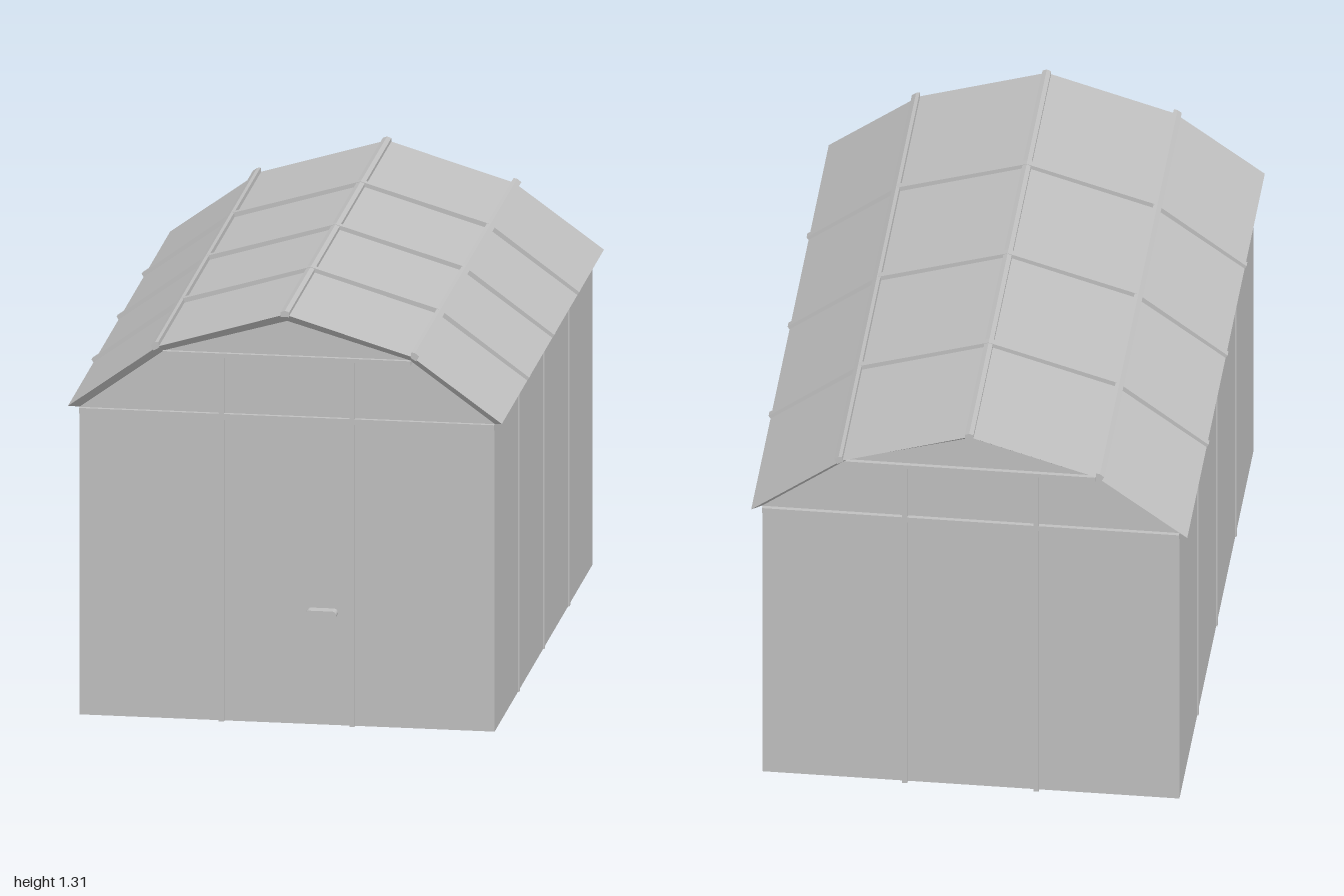
import * as THREE from 'three';

// Half profiles from eave to ridge (x, y)
const WALL = [[0.635, 0.966], [0.376, 1.154], [0, 1.262]];
const ROOF = [[0.664, 0.979], [0.39, 1.177], [0, 1.294]];
const RIB = [[0.67, 0.988], [0.397, 1.19], [0, 1.307]];
const WALL_Z = 0.955, ROOF_Z = 1;

// Full profile running from -x to +x
const full = (half) => [
  ...half.map(([x, y]) => [-x, y]),
  ...half.slice(0, -1).reverse(),
];

function extrude(points, depth) {
  const shape = new THREE.Shape(points.map(([x, y]) => new THREE.Vector2(x, y)));
  const geo = new THREE.ExtrudeGeometry(shape, { depth, bevelEnabled: false, curveSegments: 10 });
  return geo.translate(0, 0, -depth / 2);
}

// Batten with a slightly tapered section; length along y, raised along +z
function battenGeometry(length, width = 0.018, height = 0.013) {
  const w = width / 2, t = w * 0.8;
  return extrude([[-w, -0.004], [w, -0.004], [w, height * 0.6], [t, height], [-t, height], [-w, height * 0.6]], length)
    .rotateX(Math.PI / 2).scale(1, 1, -1).rotateZ(0);
}

// Roof shell whose underside slopes back from the thin edge to the walls
function roofGeometry() {
  const outer = full(ROOF), inner = full(WALL), pos = [];
  const o = (i, s) => [...outer[i], s * ROOF_Z];
  const n = (i, s) => [...inner[i], s * WALL_Z];
  const quad = (a, b, c, d) => pos.push(...a, ...b, ...c, ...a, ...c, ...d);
  for (let i = 0; i < outer.length - 1; i++) {
    quad(o(i, 1), o(i + 1, 1), o(i + 1, -1), o(i, -1));
    quad(n(i, 1), n(i + 1, 1), o(i + 1, 1), o(i, 1));
    quad(n(i + 1, -1), n(i, -1), o(i, -1), o(i + 1, -1));
  }
  const e = outer.length - 1;
  quad(n(e, -1), o(e, -1), o(e, 1), n(e, 1));
  quad(o(0, -1), n(0, -1), n(0, 1), o(0, 1));
  const geo = new THREE.BufferGeometry();
  geo.setAttribute('position', new THREE.Float32BufferAttribute(pos, 3));
  geo.computeVertexNormals();
  return geo;
}

export function createModel() {
  const shed = new THREE.Group();
  shed.name = 'shed';
  const grey = new THREE.MeshStandardMaterial({ color: 0xc0c0c0, side: THREE.DoubleSide });
  grey.name = 'light grey';

  const add = (name, geo, parent = shed) => {
    const mesh = new THREE.Mesh(geo, grey);
    mesh.name = name;
    parent.add(mesh);
    return mesh;
  };

  // Walls, gables and floor
  add('walls', extrude([[-0.635, 0], ...full(WALL), [0.635, 0]], WALL_Z * 2));
  add('roof', roofGeometry());

  // Battens on both gable ends
  for (const side of [1, -1]) {
    const end = new THREE.Group();
    end.name = side > 0 ? 'frontBattens' : 'backBattens';
    for (const x of [-0.2, 0.2]) {
      add('gableUpright', new THREE.BoxGeometry(0.016, 1.15, 0.016).translate(x, 0.575, WALL_Z + 0.005), end);
    }
    add('eaveRail', new THREE.BoxGeometry(1.27, 0.018, 0.016).translate(0, 0.956, WALL_Z + 0.005), end);
    add('gableRail', new THREE.BoxGeometry(0.76, 0.013, 0.016).translate(0, 1.148, WALL_Z + 0.005), end);
    if (side < 0) end.rotation.y = Math.PI;
    shed.add(end);
  }

  // Side wall battens and the roof ribs above them
  const ribOutline = [...full(RIB), ...full(ROOF).reverse()];
  for (const z of [-0.49, 0, 0.49]) {
    for (const side of [1, -1]) {
      const batten = add(side > 0 ? 'leftWallBatten' : 'rightWallBatten', battenGeometry(0.972));
      batten.position.set(side * 0.635, 0.486, z);
      batten.rotation.y = side * Math.PI / 2;
    }
    add('roofRib', extrude(ribOutline, 0.022).translate(0, 0, z));
  }

  // Ridge and knee strips folded over the roof bends
  add('ridgeStrip', extrude([[-0.013, 1.286], [0.013, 1.286], [0.013, 1.301], [0, 1.306], [-0.013, 1.301]], ROOF_Z * 2));
  for (const side of [1, -1]) {
    const outline = [[0.385, 1.174], [0.387, 1.192], [0.398, 1.19], [0.411, 1.18], [0.402, 1.164]];
    add(side > 0 ? 'leftKneeStrip' : 'rightKneeStrip',
      extrude(outline.map(([x, y]) => [side * x, y]), ROOF_Z * 2));
  }

  // Rounded door handle
  const r = 0.0125, handle = new THREE.Shape();
  handle.absarc(0.143, 0.353, r, -Math.PI / 2, Math.PI / 2);
  handle.absarc(0.073, 0.353, r, Math.PI / 2, Math.PI * 1.5);
  add('doorHandle', new THREE.ExtrudeGeometry(handle, { depth: 0.037, bevelEnabled: false, curveSegments: 10 })
    .translate(0, 0, WALL_Z - 0.001));

  return shed;
}
